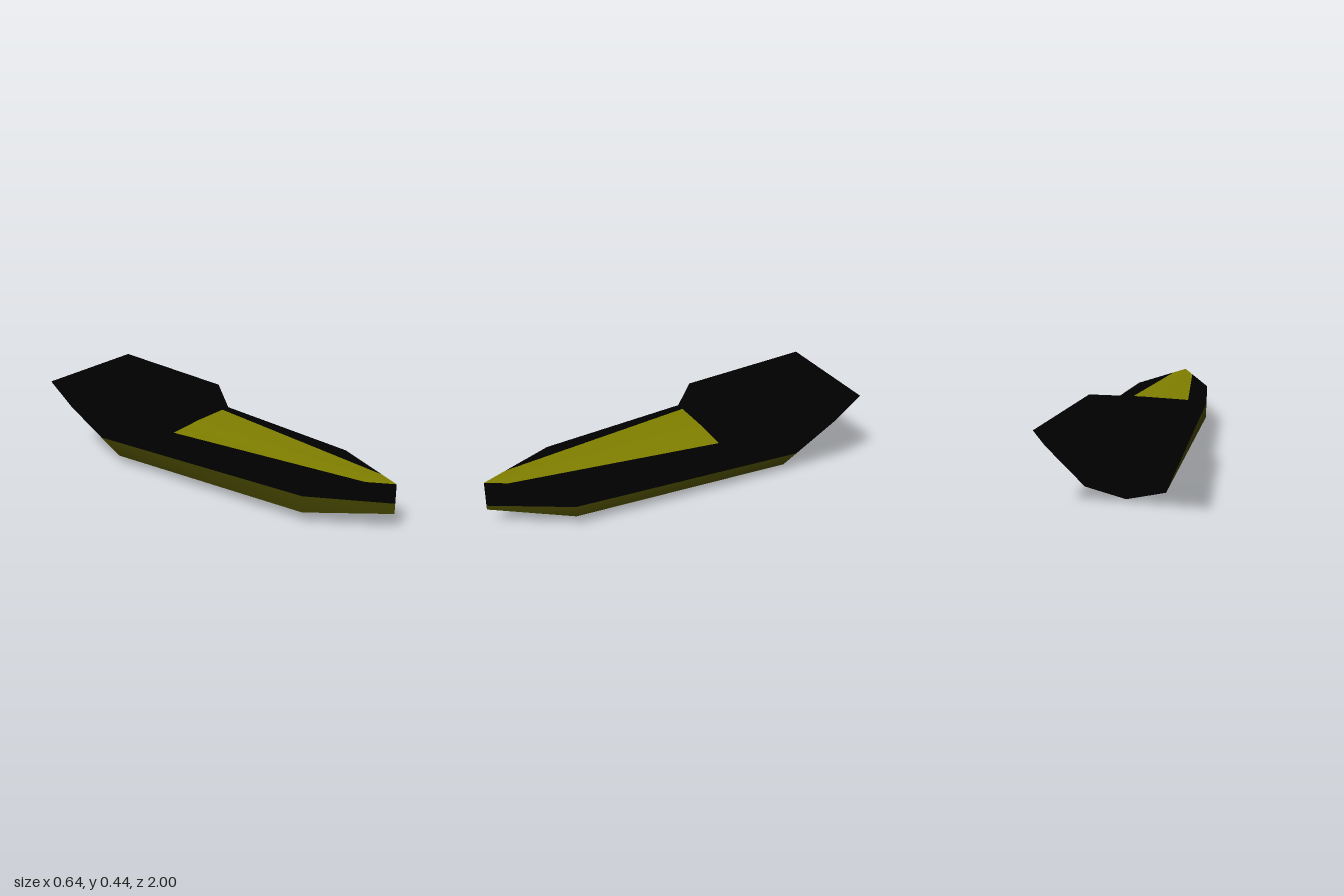
import * as THREE from 'three';
import { mergeVertices } from 'three/addons/utils/BufferGeometryUtils.js';

const black = new THREE.MeshStandardMaterial({ color: 0x000000 });
black.name = 'black hull paint';
const olive = new THREE.MeshStandardMaterial({ color: 0x7f7f00 });
olive.name = 'olive deck paint';
const darkOlive = new THREE.MeshStandardMaterial({ color: 0x404000 });
darkOlive.name = 'dark olive stripe paint';

// A point inside the hull, used to turn every face outwards
const INSIDE = new THREE.Vector3(0, 0.2, -0.3);
// The bow, keel and ridge run slightly off the middle
const MID = -0.005;

// Panel from one or more polygons, each cut as a fan from its first corner;
// shading is smooth within a panel and sharp between panels
function panel(name, material, ...polygons) {
  const pos = [];
  for (const poly of polygons) {
    for (let i = 1; i < poly.length - 1; i++) {
      const [a, b, c] = [poly[0], poly[i], poly[i + 1]].map((p) => new THREE.Vector3(...p));
      const n = b.clone().sub(a).cross(c.clone().sub(a));
      const outward = n.dot(a.clone().sub(INSIDE)) > 0;
      for (const v of outward ? [a, b, c] : [a, c, b]) pos.push(v.x, v.y, v.z);
    }
  }
  const soup = new THREE.BufferGeometry();
  soup.setAttribute('position', new THREE.Float32BufferAttribute(pos, 3));
  const geo = mergeVertices(soup);
  geo.computeVertexNormals();
  const mesh = new THREE.Mesh(geo, material);
  mesh.name = name;
  return mesh;
}

// Point a share t of the way from a to b
const between = (a, b, t) => a.map((v, i) => v + (b[i] - v) * t);
// Point at height y on the line from a to b
const atHeight = (a, b, y) => between(a, b, (y - a[1]) / (b[1] - a[1]));

// One half of the boat; s is +1 for left and -1 for right.
// noseShare tells how far back along the bow edge the deck paint reaches
function createHalf(s, stripeTop, noseShare) {
  const half = new THREE.Group();
  half.name = s > 0 ? 'leftHalf' : 'rightHalf';
  const p = (x, y, z) => [s * x, y, z];

  // Centreline
  const bowLow = [MID, 0.097, 1], bowTop = [MID, 0.255, 1];
  const keelEnd = [MID, 0, -0.62], sternMid = [MID, 0.325, -0.85], sternTop = [MID, 0.443, -1];
  const deckMid = [MID, 0.3, -0.2], cabinMid = [MID, 0.417, -0.27];
  // Side corners
  const chineFore = p(0.2, 0.063, 0.6), chineAft = p(0.2, 0.049, -0.62);
  const edgeFore = p(0.205, 0.255, 0.6), edgeDeck = p(0.266, 0.293, -0.2);
  const edgeCabin = p(0.269, 0.412, -0.27);
  const knuckle = p(0.318, 0.325, -0.85), sternEdge = p(0.318, 0.443, -1);
  // Top line of the painted stripe
  const stripeBow = atHeight(bowLow, bowTop, stripeTop);
  const stripeFore = atHeight(chineFore, edgeFore, stripeTop);
  const stripeAft = atHeight(chineAft, knuckle, stripeTop);
  // Corners of the painted deck
  const paintAft = between(deckMid, edgeDeck, 0.8);
  const paintFore = between(bowTop, edgeFore, noseShare);

  half.add(
    panel('bottom', black, [keelEnd, chineAft, chineFore, bowLow]),
    panel('sideStripe', darkOlive,
      [bowLow, chineFore, stripeFore, stripeBow],
      [chineFore, chineAft, stripeAft, stripeFore]),
    panel('side', black,
      [stripeBow, stripeFore, edgeFore, bowTop],
      [edgeDeck, edgeFore, stripeFore, stripeAft, knuckle],
      [knuckle, sternEdge, edgeCabin, edgeDeck]),
    panel('deckPaint', olive, [deckMid, paintAft, paintFore, bowTop]),
    panel('deckBorder', black, [paintAft, edgeDeck, edgeFore, paintFore]),
    panel('cabinFront', black, [cabinMid, deckMid, paintAft, edgeDeck, edgeCabin]),
    panel('cabinRoof', black, [cabinMid, edgeCabin, sternEdge, sternTop]),
    panel('transom', black, [keelEnd, chineAft, stripeAft, knuckle, sternMid]),
    panel('upperTransom', black, [sternMid, knuckle, sternEdge, sternTop]),
  );
  return half;
}

export function createModel() {
  const boat = new THREE.Group();
  boat.name = 'boatHull';
  boat.add(createHalf(1, 0.12, 0.27), createHalf(-1, 0.152, 0.33));
  return boat;
}
